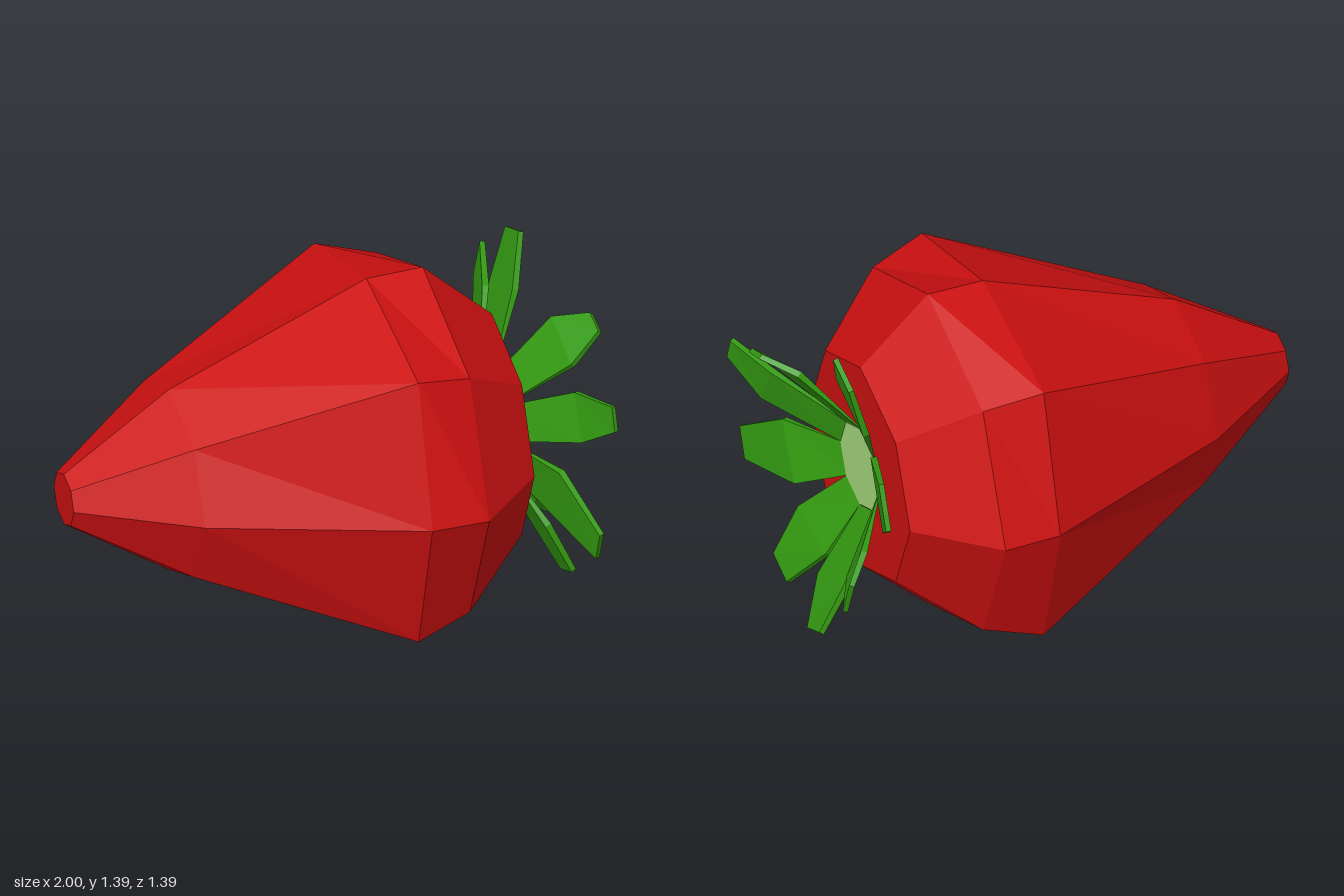
import * as THREE from 'three';

const CY = 0.7;       // height of the fruit's long axis
const SIDES = 8;
const CAP_X = 0.67;   // flat stem end of the fruit

// Closed solid through cross-sections (each a loop of Vector3), faceted
function loft(rings) {
  const pos = [];
  const tri = (...pts) => pts.forEach((p) => pos.push(p.x, p.y, p.z));
  const n = rings[0].length;
  for (let i = 0; i < rings.length - 1; i++) {
    for (let j = 0; j < n; j++) {
      const k = (j + 1) % n;
      const a = rings[i][j], b = rings[i][k], c = rings[i + 1][k], d = rings[i + 1][j];
      tri(a, b, c);
      tri(a, c, d);
    }
  }
  const first = rings[0], last = rings[rings.length - 1];
  for (let j = 1; j < n - 1; j++) {
    tri(first[0], first[j + 1], first[j]);
    tri(last[0], last[j], last[j + 1]);
  }
  const geo = new THREE.BufferGeometry();
  geo.setAttribute('position', new THREE.Float32BufferAttribute(pos, 3));
  geo.computeVertexNormals();
  return geo;
}

// Point on an octagon around the long axis, counted from the top towards +z
function rimPoint(x, r, j) {
  const a = (j / SIDES) * Math.PI * 2;
  return new THREE.Vector3(x, CY + r * Math.cos(a), r * Math.sin(a));
}

function octagon(x, r, diagonal = r) {
  return Array.from({ length: SIDES }, (_, j) => rimPoint(x, j % 2 ? diagonal : r, j));
}

// Per leaf: middle x and its two (z, y) corners, then tip x and its two corners
const LEAVES = [
  [0.89, 0.07, 1.12, 0.28, 1.03, 1.0, 0.17, 1.17, 0.26, 1.14],
  [0.88, 0.34, 0.96, 0.42, 0.79, 0.95, 0.54, 0.99, 0.57, 0.9],
  [0.8, 0.41, 0.68, 0.3, 0.46, 0.87, 0.635, 0.52, 0.59, 0.4],
  [0.8, 0.27, 0.38, 0.02, 0.33, 0.89, 0.29, 0.18, 0.17, 0.13],
  [0.86, -0.04, 0.3, -0.27, 0.39, 0.96, -0.17, 0.17, -0.28, 0.22],
  [0.86, -0.3, 0.46, -0.43, 0.66, 0.945, -0.455, 0.43, -0.515, 0.585],
  [0.8, -0.49, 0.76, -0.38, 1.03, 0.87, -0.675, 0.91, -0.61, 1.08],
  [0.8, -0.315, 1.08, -0.07, 1.18, 0.86, -0.32, 1.3, -0.18, 1.355],
];

function leafGeometry(k) {
  const [mx, az, ay, bz, by, tx, cz, cy, dz, dy] = LEAVES[k];
  const V = (x, z, y) => new THREE.Vector3(x, y, z);
  const baseA = rimPoint(CAP_X + 0.003, 0.172, k), baseB = rimPoint(CAP_X + 0.003, 0.172, k + 1);
  const midA = V(mx, az, ay), midB = V(mx, bz, by);
  const tipA = V(tx, cz, cy), tipB = V(tx, dz, dy);
  // underside sits a little behind the upper face
  const normal = new THREE.Vector3()
    .crossVectors(tipA.clone().sub(baseA), midB.clone().sub(midA)).normalize();
  const section = (a, b, t) => [
    a.clone().addScaledVector(normal, -t), b.clone().addScaledVector(normal, -t), b, a,
  ];
  return loft([section(baseA, baseB, 0.005), section(midA, midB, 0.025), section(tipA, tipB, 0.02)]);
}

export function createModel() {
  const red = new THREE.MeshStandardMaterial({ color: 0xcc1010, flatShading: true });
  red.name = 'berry red';
  const green = new THREE.MeshStandardMaterial({ color: 0x339911, flatShading: true });
  green.name = 'leaf green';
  const pale = new THREE.MeshStandardMaterial({ color: 0xa6d87c, flatShading: true });
  pale.name = 'pale green';

  const model = new THREE.Group();
  model.name = 'strawberry';
  const add = (name, geo, mat, parent = model) => {
    const mesh = new THREE.Mesh(geo, mat);
    mesh.name = name;
    parent.add(mesh);
  };

  // Fruit body, from the tip to the stem end
  add('fruit', loft([
    octagon(-1, 0.105),
    octagon(-0.59, 0.38),
    octagon(0.18, 0.693, 0.772),
    octagon(0.4, 0.697),
    octagon(CAP_X, 0.445),
  ]), red);

  // Pale disc in the middle of the leaves
  add('stemDisc', loft([octagon(CAP_X - 0.002, 0.17), octagon(CAP_X + 0.004, 0.17)]), pale);

  // Crown of eight bent leaves, one on each edge of the disc
  const crown = new THREE.Group();
  crown.name = 'leafCrown';
  LEAVES.forEach((_, k) => add(`leaf${k + 1}`, leafGeometry(k), green, crown));
  model.add(crown);

  return model;
}
